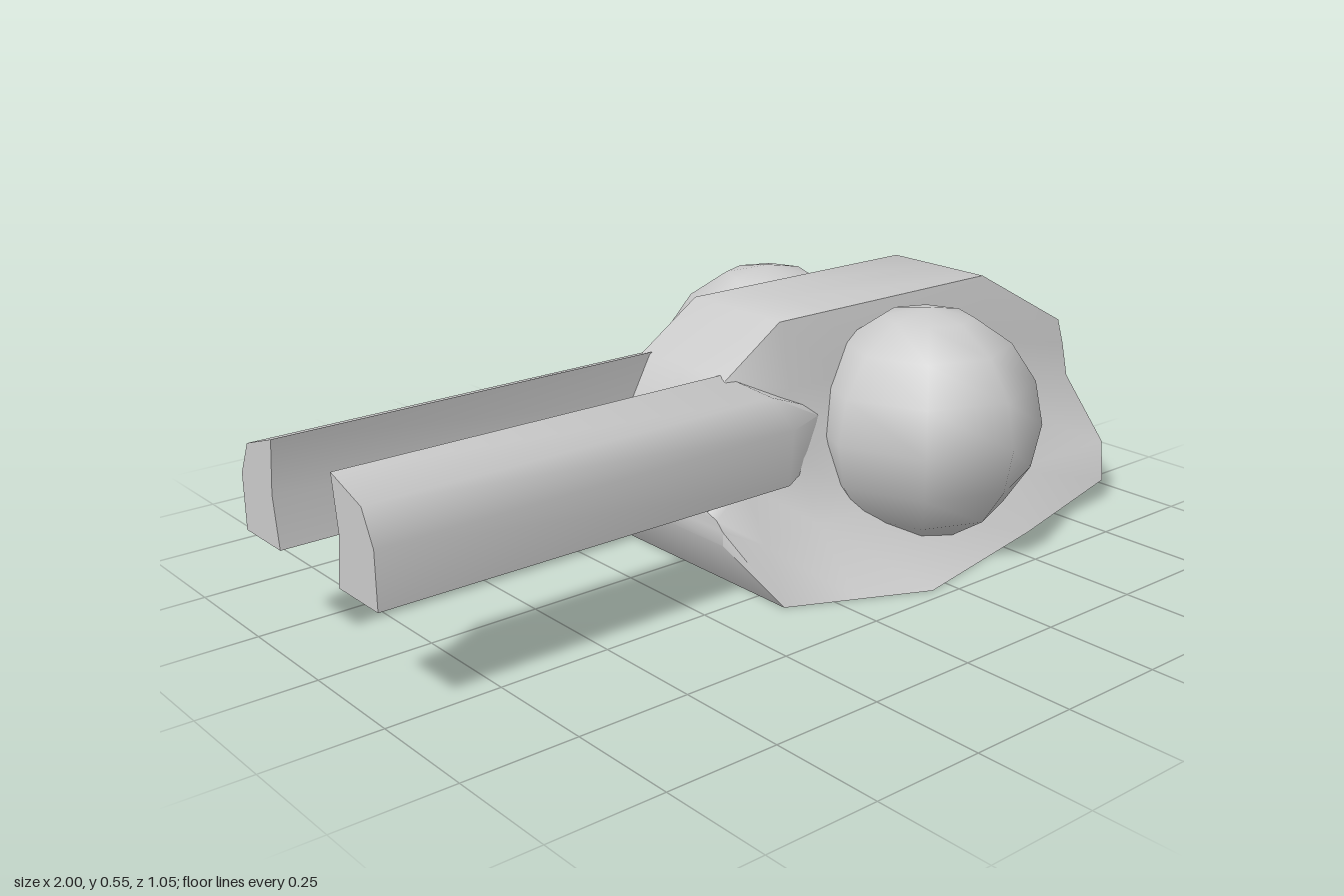
import * as THREE from 'three';
import { toCreasedNormals } from 'three/addons/utils/BufferGeometryUtils.js';

const material = new THREE.MeshStandardMaterial({ color: 0xcccccc });

// Joins closed rings of [x, y, z] points, running top -> +z -> bottom, from -x to +x
function loft(rings) {
  const n = rings[0].length;
  const index = [];
  for (let i = 0; i < rings.length - 1; i++) {
    for (let j = 0; j < n; j++) {
      const a = i * n + j, c = i * n + (j + 1) % n;
      index.push(a, c, c + n, a, c + n, a + n);
    }
  }
  const geometry = new THREE.BufferGeometry();
  geometry.setAttribute('position', new THREE.Float32BufferAttribute(rings.flat(2), 3));
  geometry.setIndex(index);
  return toCreasedNormals(geometry, 0.9);
}

// Ring shrunk to its middle, closing an end
function cap(ring) {
  const middle = [0, 1, 2].map(k => ring.reduce((sum, p) => sum + p[k], 0) / ring.length);
  return ring.map(() => middle);
}

// Completes a half ring (top centre to bottom centre) with its mirror image
const mirrorRing = half => [...half, ...half.slice(1, -1).reverse().map(([x, y, z]) => [x, y, -z])];

const section = (x, points) => points.map(([y, z]) => [x, y, z]);

// Hull: narrow flat top, flared skirt, sloping nose and pointed rear
function createHull() {
  const upper = [[0.55, 0], [0.55, 0.14], [0.41, 0.175], [0.27, 0.2]];
  const halves = [
    section(-0.2, [[0.21, 0], [0.21, 0], [0.2, 0], [0.19, 0], [0.17, 0], [0.14, 0], [0.14, 0]]),
    section(-0.2, [[0.21, 0], [0.21, 0.14], [0.2, 0.2], [0.19, 0.23], [0.17, 0.25], [0.14, 0.25], [0.14, 0]]),
    section(-0.1, [[0.45, 0], [0.45, 0.14], [0.36, 0.18], [0.24, 0.2], [0.12, 0.27], [0, 0.33], [0, 0]]),
    section(0.05, [...upper, [0.13, 0.27], [0, 0.4], [0, 0]]),
    section(0.2, [...upper, [0.13, 0.28], [0, 0.47], [0, 0]]),
    [[0.69, 0.55, 0], [0.69, 0.55, 0.14], [0.67, 0.41, 0.18], [0.65, 0.27, 0.2],
      [0.63, 0.13, 0.32], [0.61, 0, 0.385], [0.62, 0, 0]],
    [[0.93, 0.41, 0], [0.93, 0.41, 0.18], [0.94, 0.35, 0.19], [0.95, 0.27, 0.2],
      [0.95, 0.13, 0.32], [0.91, 0.05, 0.36], [0.97, 0, 0]],
    section(1, [[0.27, 0], [0.27, 0], [0.25, 0], [0.2, 0], [0.1, 0], [0, 0], [0, 0]]),
  ];
  return loft(halves.map(mirrorRing));
}

// Long side arm: rounded outside, slightly hollow inside, tapered at the hull
function createArm(side) {
  const profile = [[0.455, 0.115], [0.42, 0.22], [0.35, 0.255], [0.23, 0.255], [0.23, 0.115], [0.34, 0.13]];
  const shoulderX = [-0.09, -0.04, -0.01, -0.02, -0.05, -0.08];
  const end = section(-1, profile);
  const shoulder = profile.map(([y, z], i) => [shoulderX[i], y, z]);
  const tip = [[0.12, 0.355, 0.12], [0.12, 0.355, 0.17], [0.12, 0.34, 0.19],
    [0.09, 0.23, 0.19], [0.09, 0.23, 0.12], [0.11, 0.3, 0.12]];
  const rings = [cap(end), end, shoulder, tip, cap(tip)];
  if (side > 0) return loft(rings);
  return loft(rings.map(ring => ring.map(([x, y, z]) => [x, y, -z]).reverse()));
}

export function createModel() {
  const model = new THREE.Group();
  const add = (name, geometry) => {
    const mesh = new THREE.Mesh(geometry, material);
    mesh.name = name;
    model.add(mesh);
    return mesh;
  };

  add('hull', createHull());
  for (const [side, label] of [[1, 'left'], [-1, 'right']]) {
    add(label + 'Arm', createArm(side));
    // Faceted globe sunk into the hull side
    add(label + 'Globe', new THREE.SphereGeometry(0.262, 8, 8)).position.set(0.375, 0.29, side * 0.262);
  }
  return model;
}
